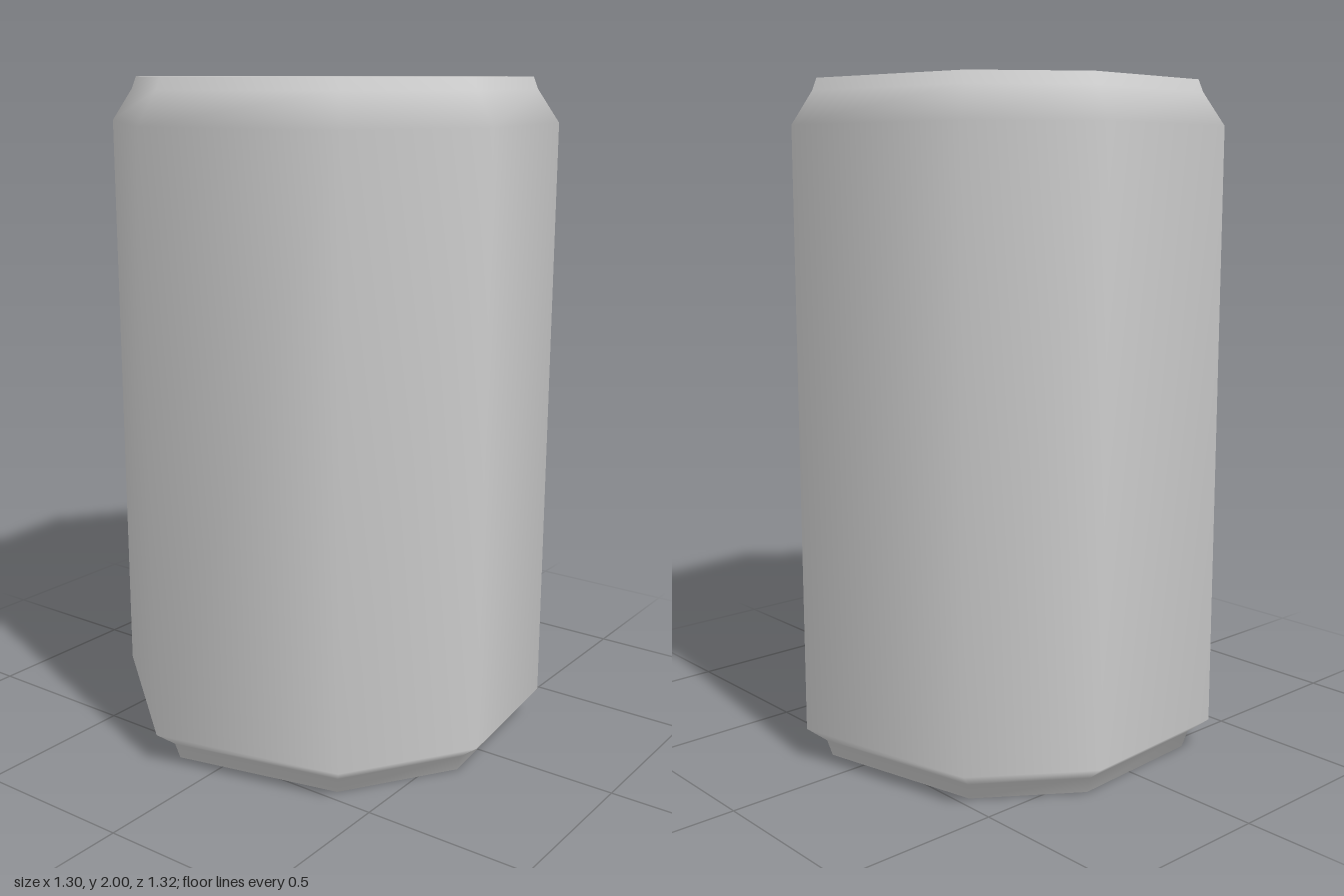
import * as THREE from 'three';
import { mergeVertices } from 'three/addons/utils/BufferGeometryUtils.js';

const material = new THREE.MeshStandardMaterial({ color: 0xcccccc });

// Outlines seen from above, as [x, z]
const outline = [[0.14, -0.66], [0.6, -0.295], [0.648, 0.165], [0.412, 0.525],
  [-0.16, 0.656], [-0.617, 0.29], [-0.65, -0.215], [-0.43, -0.53]];
const openingOutline = [[-0.03, -0.1], [0.07, -0.05], [0.13, 0.04], [0.13, 0.195],
  [-0.075, 0.235], [-0.16, 0.07], [-0.135, -0.02]];
const tabOutline = [[-0.075, -0.32], [0.06, -0.245], [0.09, -0.07], [-0.015, 0.045],
  [-0.155, -0.025], [-0.185, -0.205]];
const tabHoleOutline = [[-0.06, -0.255], [0.015, -0.215], [0, -0.145], [-0.04, -0.12],
  [-0.1, -0.13], [-0.135, -0.19]];

// Can wall as [scale of outline, y], from the base recess round to the lid recess
const wallProfile = [[0.85, 0.035], [0.855, 0], [0.88, 0], [0.905, 0.05], [1, 0.1],
  [1, 1.87], [0.905, 1.965], [0.885, 2], [0.872, 2], [0.858, 1.95]];

// Counter-clockwise points, ready to be laid flat
const toPoints = (pts, scale = 1) =>
  pts.map(([x, z]) => new THREE.Vector2(x * scale, -z * scale)).reverse();

function makeShape(pts, hole, scale) {
  const shape = new THREE.Shape(toPoints(pts, scale));
  if (hole) shape.holes.push(new THREE.Path(toPoints(hole)));
  return shape;
}

function addMesh(group, name, geometry) {
  const mesh = new THREE.Mesh(geometry, material);
  mesh.name = name;
  group.add(mesh);
}

// Horizontal plate with its underside at y
function plate(shape, y, depth) {
  const geometry = new THREE.ExtrudeGeometry(shape, { depth, bevelEnabled: false });
  return geometry.rotateX(-Math.PI / 2).translate(0, y, 0);
}

// Smooth skin through scaled copies of the outline
function loft(profile) {
  const n = outline.length;
  const points = profile.flatMap(([s, y]) =>
    outline.map(([x, z]) => new THREE.Vector3(x * s, y, z * s)));
  const normals = points.map(() => new THREE.Vector3());
  const indices = [];
  for (let r = 0; r < profile.length - 1; r++) {
    for (let i = 0; i < n; i++) {
      const a = r * n + i;
      const b = r * n + (i + 1) % n;
      const c = a + n;
      const d = b + n;
      indices.push(b, a, c, b, c, d);
      // Each quad adds its area normal to its four corners
      const normal = points[c].clone().sub(points[b])
        .cross(points[d].clone().sub(points[a]));
      for (const corner of [a, b, c, d]) normals[corner].add(normal);
    }
  }
  const geometry = new THREE.BufferGeometry().setFromPoints(points);
  const flatNormals = normals.flatMap((v) => v.normalize().toArray());
  geometry.setAttribute('normal', new THREE.Float32BufferAttribute(flatNormals, 3));
  geometry.setIndex(indices);
  return geometry;
}

// Lid with the drinking opening, dipping slightly towards the middle
function makeLid() {
  const lid = plate(makeShape(outline, openingOutline, 0.859), 1.92, 0.033);
  const position = lid.attributes.position;
  for (let i = 0; i < position.count; i++) {
    const radius = Math.hypot(position.getX(i), position.getZ(i));
    if (radius < 0.4) position.setY(i, position.getY(i) - 0.026);
  }
  lid.computeVertexNormals();
  return lid;
}

// Pull tab with finger hole, softly shaded across its edges
function makeTab() {
  const tab = plate(makeShape(tabOutline, tabHoleOutline), 1.933, 0.018);
  tab.deleteAttribute('normal');
  tab.deleteAttribute('uv');
  const smooth = mergeVertices(tab, 1e-4);
  smooth.computeVertexNormals();
  return smooth;
}

export function createModel() {
  const can = new THREE.Group();
  can.name = 'drinkCan';

  addMesh(can, 'wall', loft(wallProfile));

  // Recessed base, facing down
  const base = new THREE.ShapeGeometry(
    new THREE.Shape(outline.map(([x, z]) => new THREE.Vector2(x * 0.851, z * 0.851))));
  addMesh(can, 'base', base.rotateX(Math.PI / 2).translate(0, 0.035, 0));

  addMesh(can, 'lid', makeLid());

  // Floor of the sunken opening
  const floor = new THREE.ShapeGeometry(makeShape(openingOutline));
  addMesh(can, 'openingFloor', floor.rotateX(-Math.PI / 2).translate(0, 1.895, 0));

  addMesh(can, 'pullTab', makeTab());

  return can;
}
